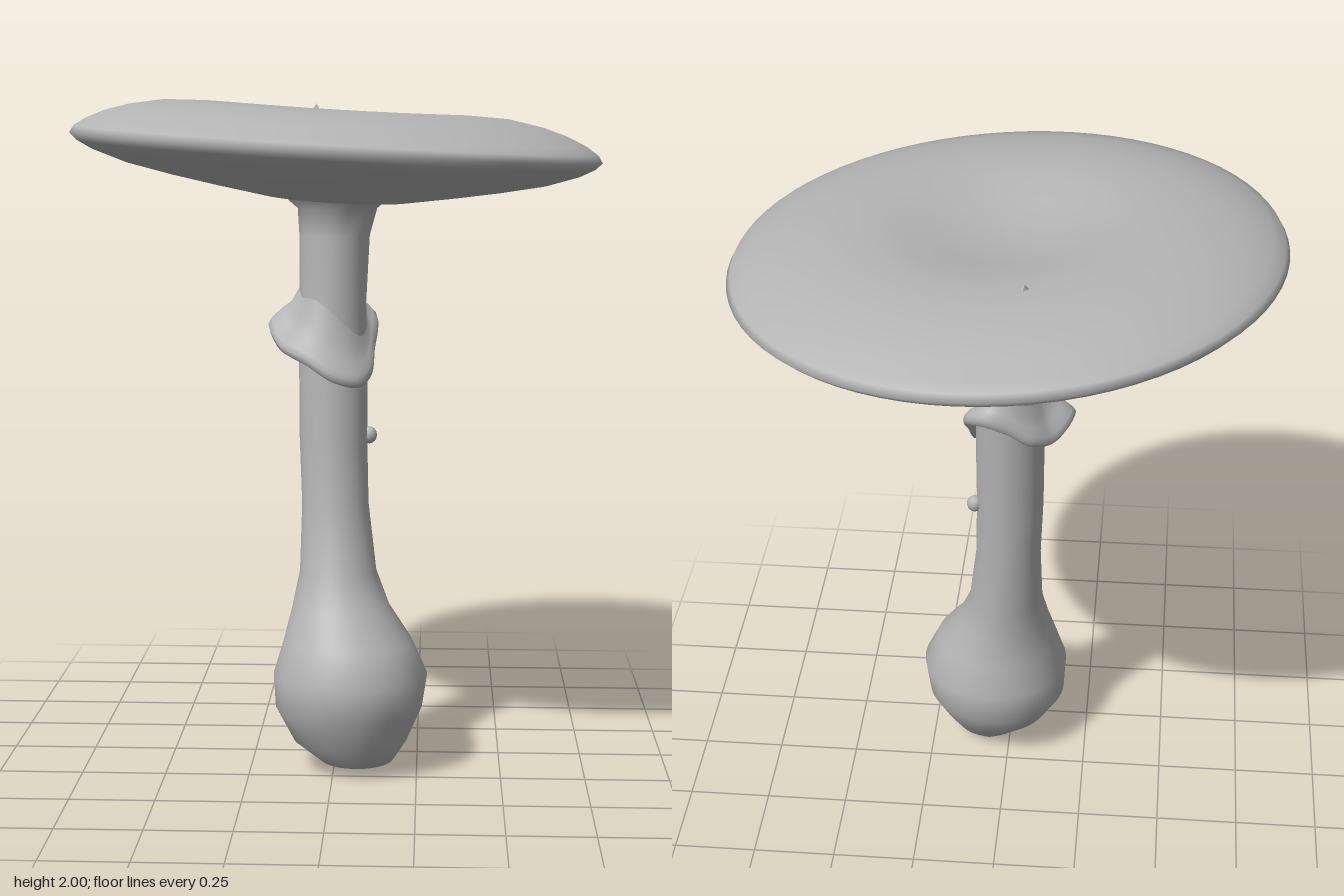
import * as THREE from 'three';

const SEG = 72;

// Skin a stack of closed rings (bottom to top); point(i, angle) gives each vertex.
function loft(count, point) {
  const pos = [], index = [];
  for (let i = 0; i < count; i++) {
    for (let j = 0; j < SEG; j++) {
      pos.push(...point(i, (j / SEG) * Math.PI * 2));
      if (i === count - 1) continue;
      const k = (j + 1) % SEG;
      const a = i * SEG + j, b = i * SEG + k, c = b + SEG, d = a + SEG;
      index.push(a, b, c, a, c, d);
    }
  }
  const g = new THREE.BufferGeometry();
  g.setAttribute('position', new THREE.Float32BufferAttribute(pos, 3));
  g.setIndex(index);
  g.computeVertexNormals();
  return g;
}

// Stem sections: height, min x, max x, min z, max z
const STEM = [
  [0.005, 0.07, 0.08, 0.12, 0.13],
  [0.012, 0.02, 0.12, 0.09, 0.2],
  [0.04, -0.04, 0.18, 0.06, 0.29],
  [0.1, -0.12, 0.22, 0.01, 0.33],
  [0.2, -0.175, 0.265, -0.06, 0.375],
  [0.3, -0.18, 0.28, -0.06, 0.39],
  [0.4, -0.15, 0.235, -0.03, 0.34],
  [0.5, -0.125, 0.165, -0.02, 0.27],
  [0.6, -0.105, 0.125, -0.025, 0.215],
  [0.8, -0.1, 0.1, -0.04, 0.165],
  [1.0, -0.108, 0.095, -0.055, 0.15],
  [1.2, -0.11, 0.095, -0.07, 0.135],
  [1.4, -0.11, 0.09, -0.09, 0.12],
  [1.6, -0.11, 0.1, -0.105, 0.11],
  [1.68, -0.115, 0.122, -0.115, 0.115],
  [1.72, -0.16, 0.17, -0.16, 0.16],
];

function stemAt(y) {
  let i = 0;
  while (i < STEM.length - 2 && STEM[i + 1][0] < y) i++;
  const a = STEM[i], b = STEM[i + 1];
  const t = (y - a[0]) / (b[0] - a[0]);
  const v = a.map((n, k) => THREE.MathUtils.lerp(n, b[k], t));
  return { x: (v[1] + v[2]) / 2, z: (v[3] + v[4]) / 2, rx: (v[2] - v[1]) / 2, rz: (v[4] - v[3]) / 2 };
}

function stemGeometry() {
  return loft(STEM.length, (i, a) => {
    const s = stemAt(STEM[i][0]);
    return [s.x + s.rx * Math.sin(a), STEM[i][0], s.z + s.rz * Math.cos(a)];
  });
}

// Cap profile: radius, height from the tilted rim plane
const CAP = [
  [0.001, -0.155], [0.15, -0.155], [0.3, -0.145], [0.5, -0.118], [0.65, -0.097], [0.8, -0.073],
  [0.92, -0.042], [0.975, -0.02], [1, 0], [0.985, 0.021], [0.94, 0.045], [0.87, 0.07],
  [0.78, 0.092], [0.65, 0.111], [0.5, 0.115], [0.38, 0.104], [0.25, 0.08], [0.12, 0.063], [0.001, 0.06],
];

function capGeometry() {
  return loft(CAP.length, (i, a) => {
    const [r, h] = CAP[i];
    const x = 0.785 * r * Math.sin(a), z = 0.797 * r * Math.cos(a);
    const bow = h > 0 ? -0.015 * r * Math.cos(a) ** 2 : -0.012 * Math.cos(a) * Math.sin(Math.PI * r);
    return [x, 1.86 - 0.058 * x + bow * (r < 0.97 ? 1 : 0) + h, z];
  });
}

// Skirt outline every 30 degrees from the front: edge height, edge radius, collar height
const SKIRT = [
  [1.195, 0.15, 0.19], [1.175, 0.15, 0.16], [1.2, 0.135, 0.1], [1.27, 0.125, 0.06],
  [1.34, 0.148, 0.05], [1.365, 0.145, 0.06], [1.345, 0.13, 0.08], [1.3, 0.14, 0.11],
  [1.28, 0.15, 0.13], [1.33, 0.188, 0.11], [1.27, 0.172, 0.15], [1.24, 0.155, 0.18],
];

function skirtGeometry() {
  const curve = new THREE.CatmullRomCurve3(SKIRT.map((p) => new THREE.Vector3(...p)), true);
  // Section: how far out from the stem, offset from the edge, share of collar height
  const section = [[-0.1, 0.02, 0.1], [0.35, 0.005, 0], [0.8, -0.015, 0], [1, -0.008, 0], [1.05, 0.008, 0],
    [0.95, 0.024, 0], [0.6, 0.03, 0.2], [0.25, 0.02, 0.5], [-0.1, 0.02, 1]];
  return loft(section.length, (i, a) => {
    const p = curve.getPoint((a / (Math.PI * 2)) % 1);
    const [out, dy, rise] = section[i];
    const y = p.x + dy + rise * p.z;
    const s = stemAt(y);
    const r = (base) => base + out * (p.y - base);
    return [s.x + r(s.rx) * Math.sin(a), y, s.z + r(s.rz) * Math.cos(a)];
  });
}

export function createModel() {
  const group = new THREE.Group();
  const grey = new THREE.MeshStandardMaterial({ color: 0xb4b4b4 });
  grey.name = 'grey';
  const add = (name, geometry) => {
    const mesh = new THREE.Mesh(geometry, grey);
    mesh.name = name;
    group.add(mesh);
    return mesh;
  };

  add('stem', stemGeometry());
  add('cap', capGeometry());
  add('skirt', skirtGeometry());

  // Small knob on the side of the stem
  const knob = add('stemKnob', new THREE.SphereGeometry(0.024, 12, 8));
  knob.position.set(0.1, 1.0, 0.02);
  knob.scale.set(1, 1.1, 0.9);

  // Small fleck lifting off the cap
  const fleck = add('capFleck', new THREE.ConeGeometry(0.025, 0.03, 3));
  fleck.position.set(-0.08, 1.972, -0.4);
  fleck.rotation.y = 0.7;
  return group;
}
